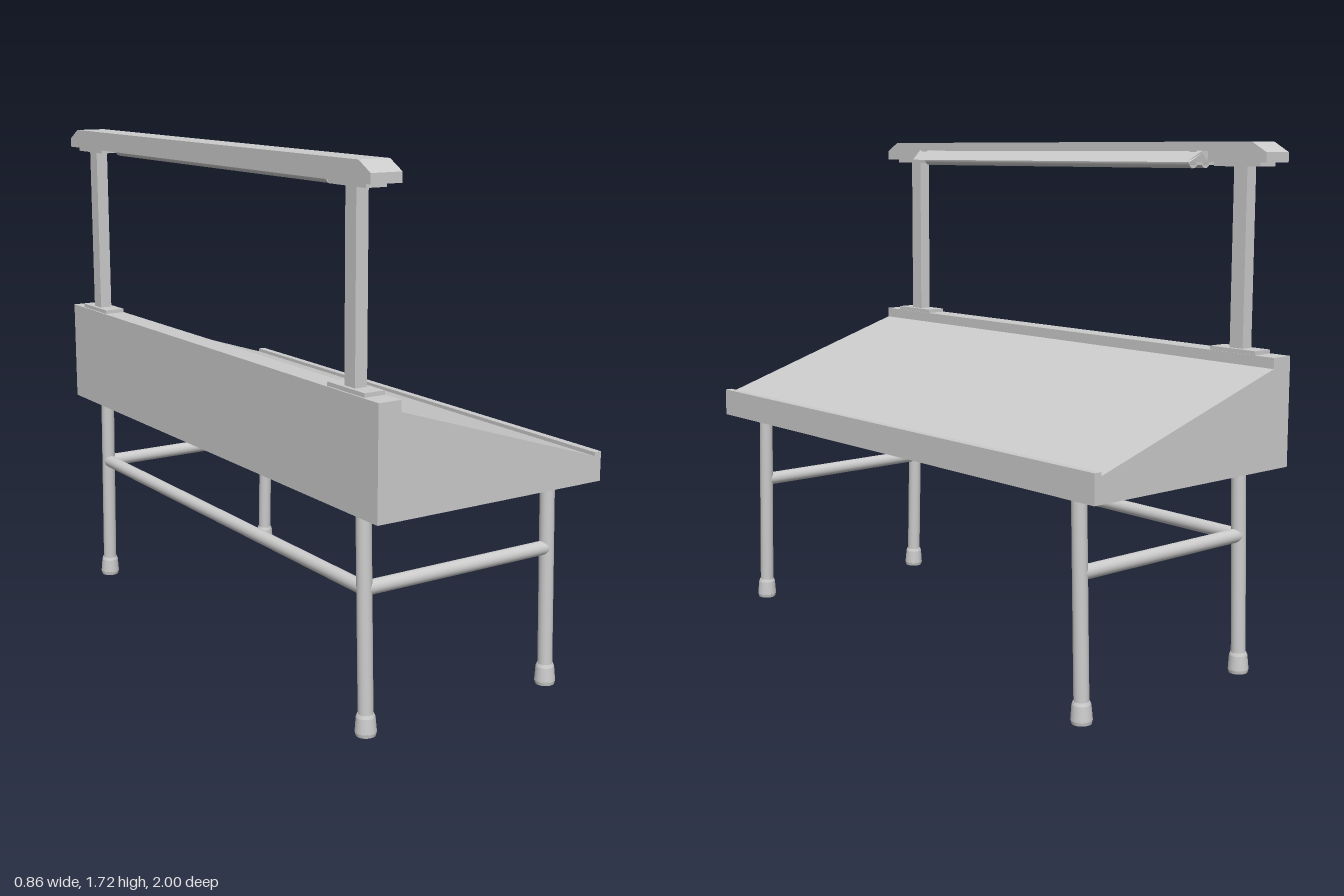
import * as THREE from 'three';

export function createModel() {
  const model = new THREE.Group();
  const grey = new THREE.MeshStandardMaterial({ color: 0xcccccc });

  const add = (name, geometry, parent = model) => {
    const mesh = new THREE.Mesh(geometry, grey);
    mesh.name = name;
    parent.add(mesh);
    return mesh;
  };
  const box = (name, x0, x1, y0, y1, z0, z1, parent) =>
    add(name, new THREE.BoxGeometry(x1 - x0, y1 - y0, z1 - z0)
      .translate((x0 + x1) / 2, (y0 + y1) / 2, (z0 + z1) / 2), parent);
  // Profile in x-y, extruded from z0 to z1
  const extrude = (points, z0, z1) =>
    new THREE.ExtrudeGeometry(new THREE.Shape(points.map(p => new THREE.Vector2(...p))),
      { depth: z1 - z0, bevelEnabled: false }).translate(0, 0, z0);
  // Round bar between two points
  const bar = (name, a, b, r0, r1, parent) => {
    const from = new THREE.Vector3(...a), to = new THREE.Vector3(...b);
    const dir = to.clone().sub(from);
    const mesh = add(name, new THREE.CylinderGeometry(r1, r0, dir.length(), 24), parent);
    mesh.position.copy(from).add(to).multiplyScalar(0.5);
    mesh.quaternion.setFromUnitVectors(new THREE.Vector3(0, 1, 0), dir.normalize());
    return mesh;
  };

  // Desk body: sloped top with a rear ledge and a small front lip
  add('deskBody', extrude([
    [-0.424, 0.70], [0.426, 0.70], [0.426, 0.795], [0.40, 0.795],
    [0.40, 0.783], [-0.345, 1.02], [-0.345, 1.055], [-0.424, 1.055],
  ], -1, 1));

  // Legs, splayed slightly outwards along z, with rubber feet
  const rearX = -0.367, frontX = 0.343;
  const legZ = y => 0.872 - 0.03 * y;
  for (const s of [-1, 1]) {
    for (const [side, x] of [['rear', rearX], ['front', frontX]]) {
      const leg = new THREE.Group();
      leg.name = side + 'Leg';
      model.add(leg);
      const at = y => [x, y, s * legZ(y)];
      bar('legTube', at(0.04), at(0.705), 0.024, 0.024, leg);
      bar('footBase', at(0.001), at(0.014), 0.031, 0.034, leg);
      bar('footSleeve', at(0.012), at(0.06), 0.034, 0.03, leg);
      bar('footCollar', at(0.06), at(0.07), 0.03, 0.026, leg);
    }
    const z = s * legZ(0.46);
    bar('sideRail', [rearX, 0.46, z], [frontX, 0.46, z], 0.023, 0.023);
  }
  bar('rearRail', [rearX, 0.46, -legZ(0.46)], [rearX, 0.46, legZ(0.46)], 0.022, 0.022);

  // Posts carrying the lamp, with mounting plates at both ends
  for (const s of [-1, 1]) {
    const post = new THREE.Group();
    post.name = 'lampPost';
    model.add(post);
    const c = s * 0.831, p = s * 0.829;
    box('postColumn', -0.405, -0.363, 1.06, 1.65, c - 0.027, c + 0.027, post);
    box('lowerPlate', -0.418, -0.347, 1.05, 1.068, p - 0.094, p + 0.094, post);
    box('upperPlate', -0.418, -0.347, 1.642, 1.66, p - 0.094, p + 0.094, post);
  }

  // Lamp housing: chamfered ends, recessed underneath
  const lamp = new THREE.Group();
  lamp.name = 'lamp';
  model.add(lamp);
  const half = [[0.73, 1.69], [0.73, 1.655], [0.964, 1.655], [0.964, 1.686], [0.905, 1.719]];
  const outline = [...half, ...half.map(([z, y]) => [-z, y]).reverse()];
  add('lampHousing', extrude(outline, 0, 0.107).rotateY(-Math.PI / 2)
    .translate(-0.325, 0, 0), lamp);
  box('housingBackWall', -0.432, -0.42, 1.655, 1.695, -0.732, 0.732, lamp);

  // Hood along the front of the lamp, its outer corners drawn in
  const hoodEnd = 0.725;
  const drawIn = geometry => {
    const pos = geometry.attributes.position;
    for (let i = 0; i < pos.count; i++) {
      const t = (pos.getX(i) + 0.325) / 0.075, z = pos.getZ(i);
      pos.setZ(i, z - Math.sign(z) * 0.02 * t ** 4);
    }
    geometry.computeVertexNormals();
    return geometry;
  };
  add('hoodSheet', drawIn(extrude([
    [-0.327, 1.683], [-0.302, 1.683], [-0.257, 1.655], [-0.25, 1.655],
    [-0.298, 1.689], [-0.327, 1.689],
  ], -hoodEnd, hoodEnd)), lamp);
  const capProfile = [[-0.327, 1.655], [-0.25, 1.655], [-0.298, 1.689], [-0.327, 1.689]];
  for (const z0 of [-hoodEnd, hoodEnd - 0.008])
    add('hoodEndCap', drawIn(extrude(capProfile, z0, z0 + 0.008)), lamp);

  // Fluorescent tubes with end sockets
  for (const x of [-0.31, -0.368]) {
    bar('lampTube', [x, 1.656, -0.68], [x, 1.656, 0.68], 0.021, 0.021, lamp);
    for (const s of [-1, 1])
      box('tubeSocket', x - 0.015, x + 0.015, 1.645, 1.692,
        s * 0.69 - 0.015, s * 0.69 + 0.015, lamp);
  }

  return model;
}
